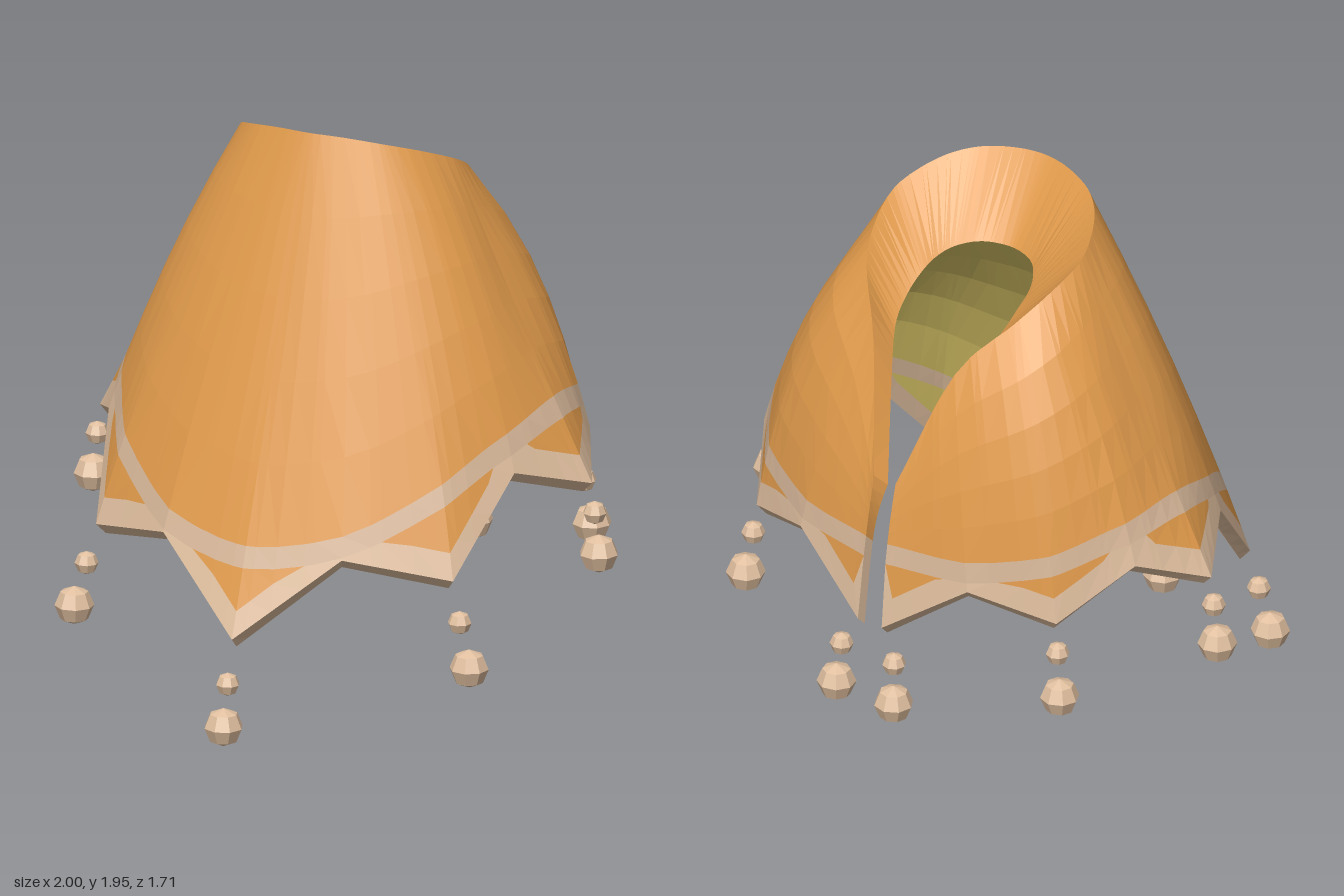
import * as THREE from 'three';

const mat = (name, color) => {
  const m = new THREE.MeshStandardMaterial({ color });
  m.name = name;
  return m;
};

// Key columns of one half, front centre to back slit; even ones are hem points, odd ones notches.
// Each: outer rim, mid surface, hem, inner collar edge, height of the trim band's top
const KEYS = [
  [[0, 1.95, 0.17], [0, 1.15, 0.45], [0, 0.355, 0.73], [0, 1.68, -0.01], 0.65],
  [[0.12, 1.945, 0.15], [0.24, 1.28, 0.37], [0.33, 0.635, 0.58], [0.1, 1.68, -0.04], 0.71],
  [[0.24, 1.925, 0.1], [0.48, 1.24, 0.27], [0.66, 0.565, 0.42], [0.16, 1.67, -0.1], 0.87],
  [[0.33, 1.89, 0.01], [0.57, 1.39, 0.08], [0.75, 0.875, 0.15], [0.19, 1.65, -0.16], 1.0],
  [[0.39, 1.83, -0.13], [0.65, 1.3, -0.11], [0.91, 0.79, -0.1], [0.2, 1.62, -0.23], 1.07],
  [[0.37, 1.76, -0.27], [0.61, 1.36, -0.32], [0.78, 0.895, -0.34], [0.2, 1.57, -0.31], 1.04],
  [[0.31, 1.67, -0.39], [0.5, 1.3, -0.51], [0.63, 0.725, -0.57], [0.18, 1.5, -0.4], 0.96],
  [[0.17, 1.49, -0.53], [0.27, 1.19, -0.63], [0.35, 0.8, -0.69], [0.11, 1.37, -0.51], 0.9],
  [[0.045, 1.1, -0.685], [0.045, 0.85, -0.735], [0.05, 0.59, -0.765], [0.015, 1.06, -0.65], 0.89],
];
const UPPER = 5;        // rows between rim and trim band
const THICK = 0.033;    // cloth thickness
const BORDER = 0.09;    // height of the hem border under the patches
const lerp = THREE.MathUtils.lerp;

// Smooth curve through one entry of the keys, with a mirrored point so the front centre is smooth
function keyCurve(pick) {
  const pts = KEYS.map(k => new THREE.Vector3(...pick(k)));
  const m = pts[1].clone();
  m.x *= -1;
  const c = new THREE.CatmullRomCurve3([m, ...pts], false, 'catmullrom', 0.5);
  return u => c.getPoint((u + 1) / 9);
}

// Point at height y on the parabola through rim, mid and hem
function pointAtHeight(rim, mid, hem, y) {
  let lo = 0, hi = 1;
  const p = new THREE.Vector3();
  for (let i = 0; i < 24; i++) {
    const t = (lo + hi) / 2;
    p.copy(rim).multiplyScalar((1 - t) * (1 - 2 * t))
      .addScaledVector(mid, 4 * t * (1 - t))
      .addScaledVector(hem, t * (2 * t - 1));
    if (p.y > y) lo = t; else hi = t;
  }
  return p;
}

function makeColumns() {
  const rimAt = keyCurve(k => k[0]), midAt = keyCurve(k => k[1]);
  const innerAt = keyCurve(k => k[3]), bandAt = keyCurve(k => [0, k[4], 0]);
  const columns = [];
  const add = (k, f) => {
    const u = k + f, p = k % 2 ? 1 - f : f;
    const rim = rimAt(u), mid = midAt(u), inRim = innerAt(u);
    const hem = new THREE.Vector3(...KEYS[k][2]);
    if (f > 0) hem.lerp(new THREE.Vector3(...KEYS[k + 1][2]), f);
    // Row heights: rim to band, band bottom, patch bottom, hem
    const top = bandAt(u).y;
    const bottom = Math.max(top - 0.07, hem.y + 0.008);
    const patch = p > 0.7 || u === 8 ? bottom : Math.min(bottom, hem.y + BORDER);
    const ys = [];
    for (let j = 0; j <= UPPER; j++) ys.push(lerp(rim.y, top, j / UPPER));
    ys.push(bottom, patch, hem.y);
    const outer = ys.map(y => pointAtHeight(rim, mid, hem, y));
    // Lining: set in and slightly down from the outside, blending up to the collar edge
    const collar = inRim.clone().sub(rim);
    const inner = outer.map((o, j) => {
      const inward = new THREE.Vector3(-o.x, 0, -0.1 - o.z).setLength(THICK);
      inward.y = -THICK;
      const w = Math.max(0, 1 - j / UPPER) ** 2;
      return o.clone().add(inward.lerp(collar, w));
    });
    columns.push({ outer, inner });
  };
  for (let k = 0; k < 8; k++)
    for (const f of k % 2 ? [0, 0.26, 0.36, 0.65, 0.88] : [0, 0.12, 0.35, 0.64, 0.74]) add(k, f);
  add(8, 0);
  return columns;
}

// Flat-faced mesh from quads; every quad is also mirrored to the other side
function quadMesh(name, material, quads) {
  const pos = [];
  const tri = (a, b, c) => {
    const area = b.clone().sub(a).cross(c.clone().sub(a)).length();
    if (area < 1e-7) return;
    for (const v of [a, b, c]) pos.push(v.x, v.y, v.z);
    for (const v of [a, c, b]) pos.push(-v.x, v.y, v.z);
  };
  for (const [a, b, c, d] of quads) { tri(a, b, c); tri(a, c, d); }
  const g = new THREE.BufferGeometry();
  g.setAttribute('position', new THREE.Float32BufferAttribute(pos, 3));
  g.computeVertexNormals();
  const mesh = new THREE.Mesh(g, material);
  mesh.name = name;
  return mesh;
}

export function createModel() {
  const orange = mat('orange cloth', 0xe09a4b);
  const beige = mat('beige trim', 0xe0bf9f);
  const band = mat('band beige', 0xd6b698);
  const yellow = mat('yellow lining', 0xdcc868);
  const group = new THREE.Group();
  group.name = 'cape';

  const cols = makeColumns();
  const q = { cloth: [], band: [], border: [], lining: [], liningTrim: [], collar: [], hem: [], slit: [], slitTrim: [] };
  const last = UPPER + 3;
  for (let i = 0; i < cols.length - 1; i++) {
    const A = cols[i], B = cols[i + 1];
    for (let j = 0; j < last; j++) {
      const isBand = j === UPPER, isBorder = j === UPPER + 2;
      q[isBand ? 'band' : isBorder ? 'border' : 'cloth']
        .push([A.outer[j], A.outer[j + 1], B.outer[j + 1], B.outer[j]]);
      q[isBand || isBorder ? 'liningTrim' : 'lining']
        .push([A.inner[j], B.inner[j], B.inner[j + 1], A.inner[j + 1]]);
    }
    q.collar.push([A.inner[0], A.outer[0], B.outer[0], B.inner[0]]);
    q.hem.push([A.outer[last], A.inner[last], B.inner[last], B.outer[last]]);
  }
  // Cloth edge along the back slit
  const S = cols[cols.length - 1];
  for (let j = 0; j < last; j++)
    q[j < UPPER ? 'slit' : 'slitTrim'].push([S.outer[j], S.outer[j + 1], S.inner[j + 1], S.inner[j]]);

  group.add(
    quadMesh('capeCloth', orange, q.cloth),
    quadMesh('trimBand', band, q.band),
    quadMesh('hemBorder', beige, q.border),
    quadMesh('lining', yellow, q.lining),
    quadMesh('liningTrim', beige, q.liningTrim),
    quadMesh('collar', orange, q.collar),
    quadMesh('hemEdge', beige, q.hem),
    quadMesh('slitEdge', orange, q.slit),
    quadMesh('slitTrim', beige, q.slitTrim),
  );

  // Pairs of faceted beads hanging under each hem point
  const bead = r => {
    const g = new THREE.SphereGeometry(r, 8, 4).toNonIndexed();
    g.computeVertexNormals();
    return g;
  };
  const small = bead(0.04), large = bead(0.066);
  const beads = [
    [[0, 0.21, 0.76], [0, 0.07, 0.79]],
    [[0.69, 0.43, 0.43], [0.73, 0.28, 0.44]],
    [[0.92, 0.69, -0.1], [0.935, 0.55, -0.1]],
    [[0.64, 0.62, -0.575], [0.66, 0.47, -0.59]],
    [[0.11, 0.48, -0.775], [0.12, 0.34, -0.79]],
  ];
  for (const pair of beads)
    for (const s of pair[0][0] ? [1, -1] : [1])
      pair.forEach(([x, y, z], i) => {
        const m = new THREE.Mesh(i ? large : small, beige);
        m.name = i ? 'largeBead' : 'smallBead';
        m.position.set(s * x, y, z);
        m.rotation.y = Math.atan2(s * x, z);
        group.add(m);
      });
  return group;
}
